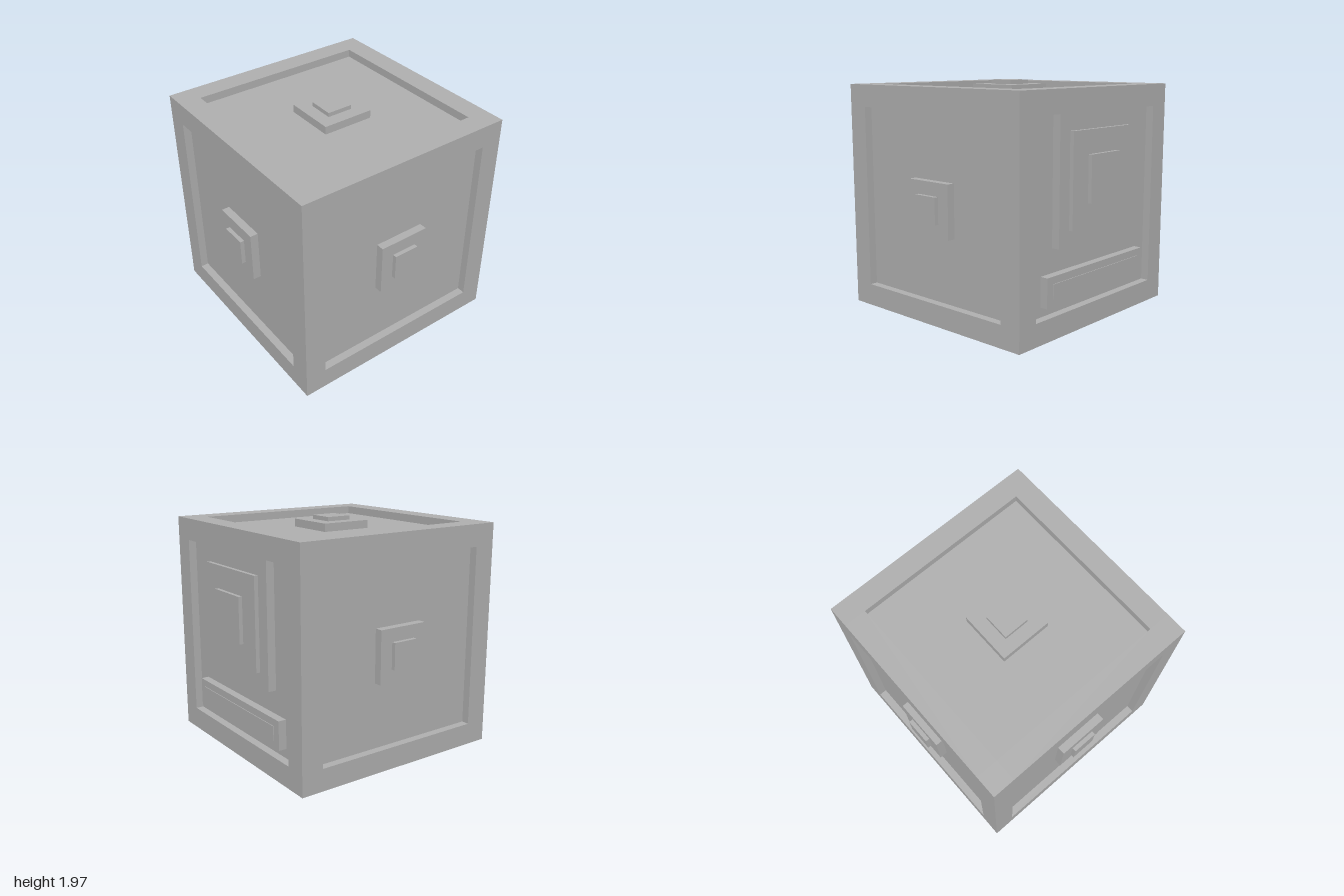
import * as THREE from 'three';

const HALF = 0.95;      // half size of the cube
const OPENING = 0.765;  // half size of each recessed panel
const DEPTH = 0.067;    // depth of the panels
const FLOOR = HALF - DEPTH;

export function createModel() {
  const model = new THREE.Group();
  model.name = 'panelledCube';
  const grey = new THREE.MeshStandardMaterial({ color: 0xb0b0b0 });
  grey.name = 'grey';

  const box = (parent, name, size, position) => {
    const mesh = new THREE.Mesh(new THREE.BoxGeometry(...size), grey);
    mesh.name = name;
    mesh.position.set(...position);
    parent.add(mesh);
  };

  // plate standing on a face, spanning two distances along the face's outward z axis
  const plate = (parent, name, w, h, y, from, to) =>
    box(parent, name, [w, h, to - from], [0, y, (from + to) / 2]);

  const cube = new THREE.Group();
  cube.name = 'cube';
  cube.position.set(0, 0.985, 0.015);
  model.add(cube);

  // inner block whose faces are the panel floors
  box(cube, 'core', [2 * FLOOR, 2 * FLOOR, 2 * FLOOR], [0, 0, 0]);

  // twelve edge beams: full-height posts with rails between them
  const t = HALF - OPENING, c = (HALF + OPENING) / 2;
  for (const a of [-c, c]) {
    for (const b of [-c, c]) {
      box(cube, 'cornerPost', [t, 2 * HALF, t], [a, 0, b]);
      box(cube, 'crossRail', [2 * OPENING, t, t], [0, a, b]);
      box(cube, 'sideRail', [t, t, 2 * OPENING], [a, b, 0]);
    }
  }

  // stepped button on five faces
  const turns = {
    front: [0, 0], left: [0, Math.PI / 2], right: [0, -Math.PI / 2],
    top: [-Math.PI / 2, 0], bottom: [Math.PI / 2, 0],
  };
  for (const [side, [rx, ry]] of Object.entries(turns)) {
    const button = new THREE.Group();
    button.name = side + 'Button';
    button.rotation.set(rx, ry, 0);
    plate(button, 'buttonBase', 0.44, 0.44, 0, FLOOR - 0.02, HALF);
    plate(button, 'buttonCap', 0.22, 0.22, 0, HALF - 0.02, 0.985);
    cube.add(button);
  }

  // back: large block hanging from the upper rail, with stepped plates and a lower bar
  const back = new THREE.Group();
  back.name = 'backPanel';
  back.rotation.y = Math.PI;
  plate(back, 'backBlock', 1.0, 1.015, 0.2575, FLOOR - 0.02, HALF);
  plate(back, 'backPlate', 0.76, 0.76, 0.255, HALF - 0.02, 0.983);
  plate(back, 'backCap', 0.38, 0.38, 0.255, 0.96, 1.015);
  plate(back, 'lowerBar', 1.27, 0.24, -0.565, FLOOR - 0.02, HALF);
  plate(back, 'lowerBarInset', 1.13, 0.12, -0.565, HALF - 0.002, HALF + 0.006);
  cube.add(back);

  return model;
}
